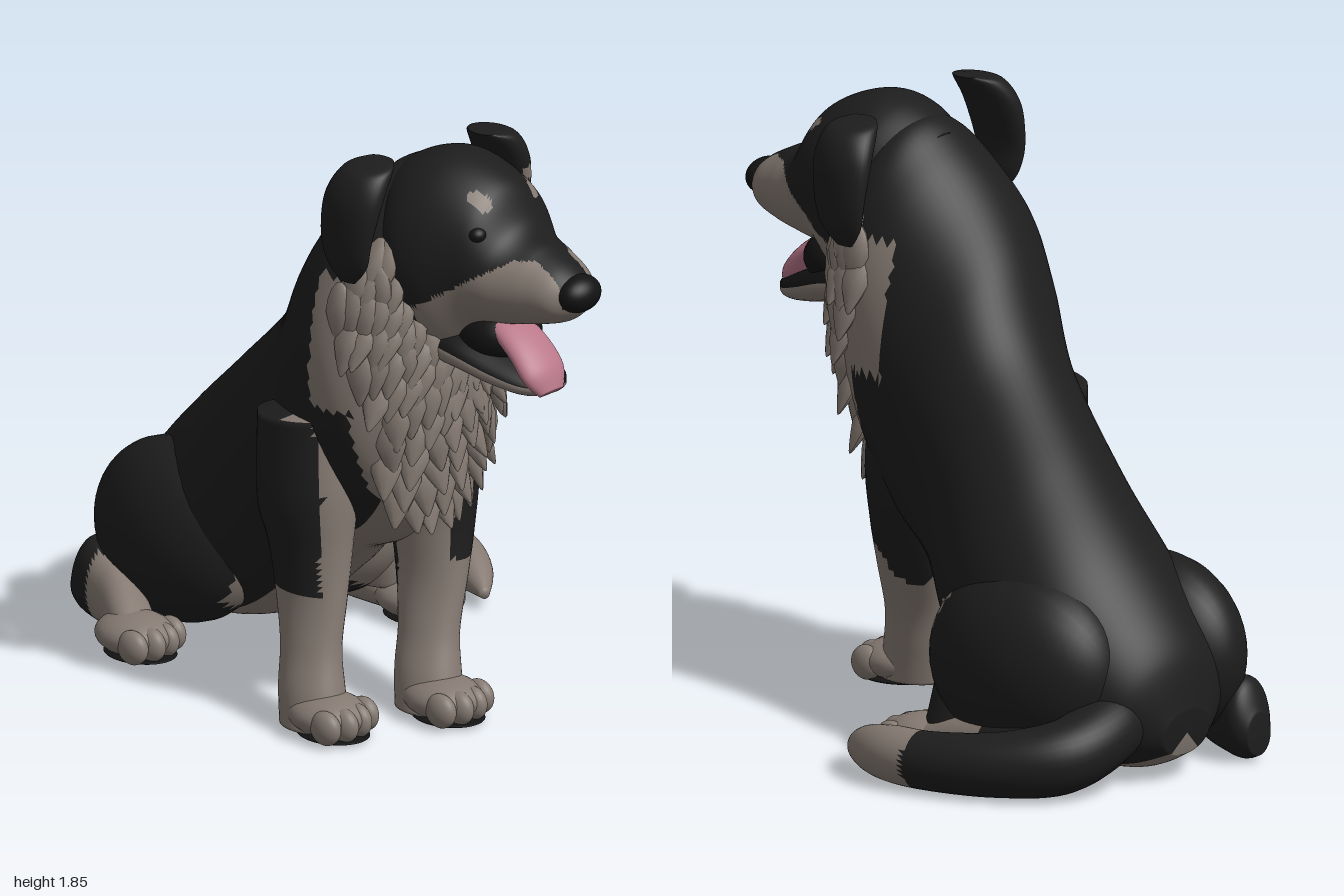
import * as THREE from 'three';
import { mergeGeometries } from 'three/addons/utils/BufferGeometryUtils.js';

const mat = (name, color) => Object.assign(new THREE.MeshStandardMaterial({ color }), { name });

// Smooth interpolation through a list of cross-sections; t is the section index
function section(S, t) {
  const n = S.length - 1, i = Math.min(Math.floor(t), n - 1), f = t - i;
  const p = (k) => S[Math.max(0, Math.min(n, k))];
  return S[i].map((_, k) => {
    const a = p(i - 1)[k], b = p(i)[k], c = p(i + 1)[k], d = p(i + 2)[k];
    return b + 0.5 * f * (c - a + f * (2 * a - 5 * b + 4 * c - d + f * (3 * (b - c) + d - a)));
  });
}

// Section [x, halfWidth, y1, z1, y2, z2]: an ellipse spanning two points of the side profile
function profileRing(S, t, a) {
  const [x, w, y1, z1, y2, z2] = section(S, t), c = Math.cos(a) / 2;
  return new THREE.Vector3(x + Math.max(0, w) * Math.sin(a), (y1 + y2) / 2 + (y1 - y2) * c, (z1 + z2) / 2 + (z1 - z2) * c);
}

// Section [x, y, z, radius]: a circle across a path on the ground
function pathRing(S, t, a) {
  const n = S.length - 1, [x, y, z, r] = section(S, t);
  const p = section(S, Math.max(0, t - 0.05)), q = section(S, Math.min(n, t + 0.05));
  const dx = q[0] - p[0], dz = q[2] - p[2], l = Math.hypot(dx, dz);
  const s = r * Math.sin(a);
  return new THREE.Vector3(x + s * dz / l, y + r * Math.cos(a), z - s * dx / l);
}

// Closed skin over the sections; rule(x, y, z, angle) picks the material index
function loft(name, S, mats, rule = () => 0, { steps = 8, sides = 36, ring = profileRing } = {}) {
  const rows = (S.length - 1) * steps, pos = [], faces = mats.map(() => []);
  const v = (i, j) => i * sides + (j % sides);
  for (let i = 0; i <= rows; i++)
    for (let j = 0; j < sides; j++) pos.push(...ring(S, i / steps, (j / sides) * 2 * Math.PI).toArray());
  for (const row of [0, rows]) {
    const mid = [0, 0, 0];
    for (let j = 0; j < sides; j++) mid.forEach((_, k) => { mid[k] += pos[v(row, j) * 3 + k] / sides; });
    pos.push(...mid);
  }
  const add = (angle, ...tri) => {
    const m = [0, 1, 2].map((k) => tri.reduce((s, q) => s + pos[q * 3 + k], 0) / 3);
    faces[rule(...m, angle)].push(...tri);
  };
  const first = (rows + 1) * sides;
  for (let j = 0; j < sides; j++) {
    const a = ((j + 0.5) / sides) * 2 * Math.PI;
    add(a, first, v(0, j), v(0, j + 1));
    for (let i = 0; i < rows; i++) {
      add(a, v(i, j), v(i + 1, j), v(i, j + 1));
      add(a, v(i, j + 1), v(i + 1, j), v(i + 1, j + 1));
    }
    add(a, first + 1, v(rows, j + 1), v(rows, j));
  }
  const g = new THREE.BufferGeometry();
  g.setAttribute('position', new THREE.Float32BufferAttribute(pos, 3));
  g.setIndex(faces.flat());
  let start = 0;
  faces.forEach((f, k) => { g.addGroup(start, f.length, k); start += f.length; });
  g.computeVertexNormals();
  const mesh = new THREE.Mesh(g, mats);
  mesh.name = name;
  return mesh;
}

// Ellipsoid
function ball(name, x, y, z, rx, ry, rz, mats, rule) {
  const S = Array.from({ length: 15 }, (_, i) => {
    const a = Math.PI * i / 14, s = Math.max(0.02, Math.sin(a)), zz = z - rz * Math.cos(a);
    return [x, rx * s, y + ry * s, zz, y - ry * s, zz];
  });
  return loft(name, S, mats, rule, { steps: 2, sides: 28 });
}

export function createModel() {
  const dog = new THREE.Group();
  const black = mat('black coat', 0x1d1d1d), tan = mat('tan fur', 0x857a72);
  const pink = mat('pink tongue', 0xb9788a), dark = mat('dark nose and eyes', 0x121212);
  const coat = [black, tan];
  const put = (...m) => dog.add(...m);

  // Body from rump to neck, leaning along the sitting back
  const bodyS = [
    [0, 0.1, 0.22, -0.985, 0.08, -0.96], [0, 0.24, 0.39, -0.95, 0.02, -0.82],
    [0, 0.33, 0.55, -0.84, 0.02, -0.57], [0, 0.36, 0.71, -0.7, 0.08, -0.36],
    [-0.04, 0.34, 0.9, -0.5, 0.27, -0.12], [-0.14, 0.31, 1.17, -0.21, 0.42, 0.06],
    [-0.22, 0.33, 1.41, -0.05, 0.54, 0.28], [-0.26, 0.35, 1.57, 0.08, 0.72, 0.43],
    [-0.25, 0.32, 1.7, 0.2, 0.98, 0.51], [-0.24, 0.27, 1.78, 0.3, 1.15, 0.52],
    [-0.24, 0.2, 1.79, 0.42, 1.25, 0.5]];
  put(loft('body', bodyS, coat, (x, y, z, a) => {
    const ruff = y > 1.05 && y < 1.46 && z > 0.2;
    const chest = y > 0.6 && y <= 1.05 && z > 0.35;
    return ruff || chest || Math.cos(a) < -0.8 ? 1 : 0;
  }, { steps: 10, sides: 72 }));

  // Pointed fur tufts over the ruff and chest
  const tufts = [], up = new THREE.Vector3(0, 1, 0);
  for (let r = 0; r < 9; r++) {
    const t = 6.9 + r * 0.28, spread = t > 7.6 ? 1.75 : 0.55 + r * 0.15, n = t > 7.6 ? 15 : 7;
    for (let k = 0; k < n; k++) {
      const a = Math.PI + spread * (2 * (k + (r % 2) * 0.4) / (n - 0.6) - 1);
      const p = profileRing(bodyS, t, a), c = profileRing(bodyS, t, 0).add(profileRing(bodyS, t, Math.PI)).multiplyScalar(0.5);
      const out = p.clone().sub(c).setY(0).normalize();
      const dir = out.clone().multiplyScalar(0.3 + 0.12 * Math.sin(k * 5 + r * 3)).add(new THREE.Vector3(0.2 * Math.sin(k * 3 + r), -1, 0)).normalize();
      const side = new THREE.Vector3().crossVectors(dir, out).normalize();
      const face = new THREE.Vector3().crossVectors(side, dir);
      const g = new THREE.SphereGeometry(1, 10, 8);
      const q = g.attributes.position;
      for (let i = 0; i < q.count; i++) { // narrow towards the tip
        const w = q.getY(i) > 0 ? 1 - 0.6 * q.getY(i) : 1;
        q.setXYZ(i, q.getX(i) * 0.05 * w, q.getY(i) * 0.1, q.getZ(i) * 0.03 * w);
      }
      g.computeVertexNormals();
      g.applyMatrix4(new THREE.Matrix4().makeBasis(side, dir, face.negate()).setPosition(p));
      tufts.push(g);
    }
  }
  const ruff = new THREE.Mesh(mergeGeometries(tufts), tan);
  ruff.material.side = THREE.DoubleSide;
  ruff.name = 'neckRuff';
  put(ruff);

  // Head with tan muzzle and brow spots
  const hx = -0.22;
  put(loft('head', [
    [-0.24, 0.16, 1.74, 0.24, 1.34, 0.34], [-0.235, 0.25, 1.82, 0.38, 1.23, 0.42],
    [-0.23, 0.255, 1.835, 0.5, 1.21, 0.52], [-0.22, 0.21, 1.77, 0.65, 1.31, 0.62],
    [-0.215, 0.165, 1.65, 0.73, 1.34, 0.73], [-0.21, 0.135, 1.605, 0.82, 1.36, 0.82],
    [-0.21, 0.105, 1.565, 0.9, 1.39, 0.91], [-0.21, 0.05, 1.52, 0.96, 1.43, 0.96]], coat,
  (x, y, z) => {
    const brow = z > 0.5 && (Math.hypot(x + 0.325, y - 1.735) < 0.027 || Math.hypot(x + 0.1, y - 1.72) < 0.025);
    const muzzle = z > 0.5 && y < 1.58 - 0.65 * Math.max(0, 0.78 - z) && (Math.abs(x - hx) > 0.06 || y < 1.45);
    return brow || muzzle || y < 1.27 ? 1 : 0;
  }, { steps: 14, sides: 88 }));
  put(ball('nose', -0.21, 1.485, 0.94, 0.08, 0.058, 0.06, [dark]));
  put(ball('mouthInterior', hx, 1.29, 0.63, 0.13, 0.09, 0.13, [dark]));
  put(loft('lowerJaw', [
    [hx, 0.18, 1.34, 0.46, 1.18, 0.44], [hx, 0.17, 1.3, 0.6, 1.165, 0.58],
    [hx, 0.14, 1.25, 0.72, 1.14, 0.7], [hx, 0.1, 1.21, 0.81, 1.13, 0.8],
    [hx, 0.04, 1.185, 0.87, 1.15, 0.86]], [dark, tan], (x, y, z, a) => (Math.cos(a) > 0.15 ? 0 : 1)));
  put(loft('tongue', [
    [-0.24, 0.06, 1.37, 0.63, 1.32, 0.6], [-0.24, 0.075, 1.36, 0.7, 1.29, 0.67],
    [-0.245, 0.085, 1.31, 0.79, 1.24, 0.75], [-0.25, 0.085, 1.24, 0.86, 1.18, 0.81],
    [-0.25, 0.05, 1.17, 0.885, 1.145, 0.85]], [pink]));
  put(ball('rightEye', -0.36, 1.645, 0.665, 0.032, 0.026, 0.03, [dark]));
  put(ball('leftEye', -0.09, 1.635, 0.665, 0.032, 0.026, 0.03, [dark]));

  // Folded ears
  for (const [name, s, dy] of [['leftEar', 1, -0.02], ['rightEar', -1, 0.02]]) {
    const row = (o, w, y, zf, zb) => [-0.25 + s * o, w, y + dy, zf, y + dy, zb];
    put(loft(name, [
      row(0.23, 0.03, 1.83, 0.43, 0.33), row(0.28, 0.065, 1.81, 0.46, 0.29), row(0.33, 0.06, 1.73, 0.47, 0.26),
      row(0.355, 0.04, 1.61, 0.455, 0.26), row(0.35, 0.035, 1.52, 0.43, 0.28), row(0.34, 0.012, 1.46, 0.38, 0.32)],
    coat, (x, y, z) => (z > 0.38 && Math.hypot(x - 0.095, y - 1.665) < 0.024 ? 1 : 0)));
  }

  // Paw: pad, four toes and a dark sole
  function paw(name, x, z) {
    const g = new THREE.Group();
    g.name = name;
    g.add(ball('foot', x, 0.066, z, 0.115, 0.065, 0.13, [tan]));
    [-0.085, -0.03, 0.03, 0.085].forEach((d) =>
      g.add(ball('toe', x + d, 0.058, z + 0.1 - Math.abs(d) * 0.4, 0.035, 0.054, 0.055, [tan])));
    g.add(ball('sole', x, 0.01, z + 0.02, 0.1, 0.01, 0.12, [dark]));
    put(g);
  }

  // Front legs
  function frontLeg(name, xt, xb, dz, rule) {
    const m = (f) => xt + (xb - xt) * f;
    put(loft(name, [
      [m(0), 0.11, 0.98, 0.4 + dz, 0.95, 0.08 + dz], [m(0), 0.135, 0.75, 0.42 + dz, 0.68, 0.09 + dz],
      [m(0.05), 0.11, 0.55, 0.415 + dz, 0.55, 0.13 + dz], [m(0.25), 0.085, 0.4, 0.42 + dz, 0.4, 0.17 + dz],
      [m(0.6), 0.078, 0.25, 0.43 + dz, 0.25, 0.22 + dz], [m(0.85), 0.09, 0.13, 0.46 + dz, 0.13, 0.24 + dz],
      [m(1), 0.095, 0.02, 0.49 + dz, 0.02, 0.26 + dz]], coat, rule));
    paw(name + 'Paw', xb, 0.43 + dz);
  }
  frontLeg('leftFrontLeg', -0.12, -0.25, 0, (x, y, z) =>
    (y > 0.42 + 0.06 * Math.sin(z * 20) && (x > -0.18 + 0.45 * Math.max(0, y - 0.6) || z < 0.22) ? 0 : 1));
  frontLeg('rightFrontLeg', -0.49, -0.59, -0.16, (x, y, z) => (y > 0.42 && (x < -0.57 || z < 0.08) ? 0 : 1));

  // Hind legs: thigh, shin and long foot
  put(ball('leftThigh', 0.215, 0.33, -0.52, 0.225, 0.3, 0.35, coat, (x, y, z) => (z > -0.29 && x < 0.33 ? 1 : 0)));
  put(ball('rightThigh', -0.23, 0.32, -0.65, 0.19, 0.29, 0.31, coat, (x, y, z) => (z > -0.42 && x > -0.3 ? 1 : 0)));
  put(loft('leftShin', [
    [0.2, 0.07, 0.55, -0.19, 0.52, -0.36], [0.21, 0.09, 0.42, -0.18, 0.38, -0.4],
    [0.25, 0.09, 0.26, -0.2, 0.24, -0.42], [0.3, 0.09, 0.1, -0.2, 0.1, -0.42]], coat, (x) => (x < 0.3 ? 1 : 0)));
  put(loft('leftHindFoot', [
    [0.34, 0.05, 0.14, -0.78, 0.02, -0.78], [0.34, 0.09, 0.2, -0.66, 0, -0.66],
    [0.33, 0.095, 0.17, -0.4, 0, -0.4], [0.32, 0.09, 0.11, -0.2, 0.01, -0.2]], coat, (x, y, z) => (z > -0.5 ? 1 : 0)));
  paw('leftHindPaw', 0.32, -0.2);
  put(loft('rightHindFoot', [
    [-0.3, 0.05, 0.15, -0.99, 0.02, -0.99], [-0.31, 0.09, 0.25, -0.93, 0, -0.93],
    [-0.36, 0.09, 0.22, -0.8, 0, -0.8], [-0.43, 0.09, 0.17, -0.68, 0, -0.68],
    [-0.49, 0.08, 0.11, -0.58, 0.01, -0.58]], coat, (x, y, z) => (z > -0.86 && x < -0.37 && y > 0.01 ? 1 : 0)));
  paw('rightHindPaw', -0.48, -0.61);

  // Tail curling forward along the ground, with a tan tip
  put(loft('tail', [
    [0.08, 0.22, -0.78, 0.1], [0.22, 0.18, -0.84, 0.115], [0.39, 0.125, -0.82, 0.115], [0.52, 0.1, -0.68, 0.1],
    [0.6, 0.09, -0.48, 0.09], [0.61, 0.088, -0.32, 0.085], [0.56, 0.075, -0.18, 0.062], [0.49, 0.05, -0.07, 0.015]],
  coat, (x, y, z) => (z > -0.44 ? 1 : 0), { ring: pathRing }));

  return dog;
}
